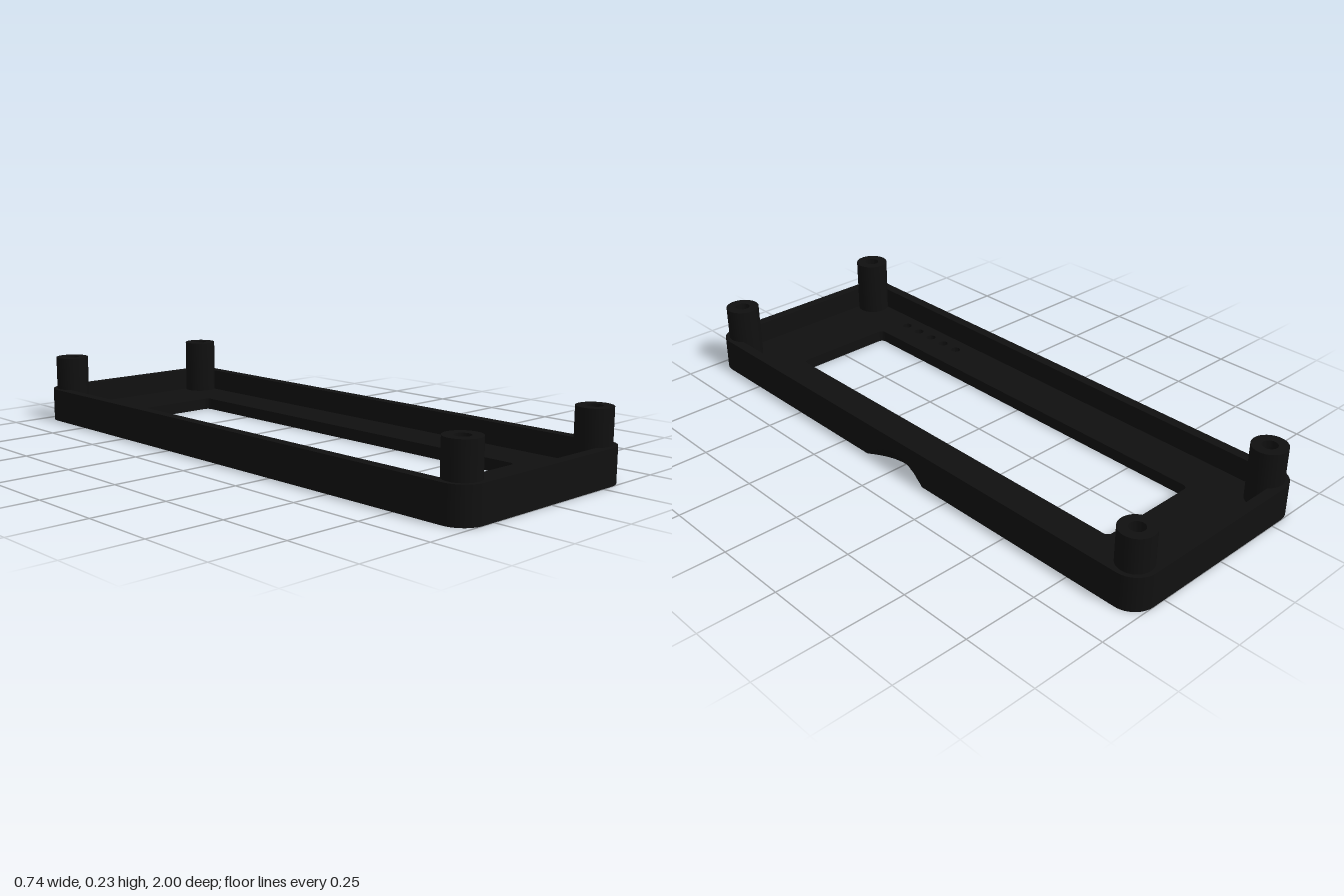
import * as THREE from 'three';
import { toCreasedNormals } from 'three/addons/utils/BufferGeometryUtils.js';

const HALF_W = 0.37, HALF_L = 1, FLOOR = 0.04, RIM = 0.115, POST_TOP = 0.23, WALL = 0.035;
const SCOOP = { depth: 0.05, height: 0.065, half: 0.135 };
const POST_X = 0.298, POST_Z = 0.928;

// How far the finger scoop cuts into the +x side at height y
const scoopDepth = (z, y) =>
  SCOOP.depth * Math.max(0, 1 - (z / SCOOP.half) ** 2 - y / SCOOP.height);

// Rounded rectangle in plan, optionally with the scoop outline of height scoopY
function roundedRect(target, w, l, r, scoopY = null) {
  target.moveTo(w, -l + r);
  if (scoopY !== null) {
    for (let i = 0; i <= 24; i++) {
      const z = SCOOP.half * (i / 12 - 1);
      target.lineTo(w - scoopDepth(z, scoopY), z);
    }
  }
  target.lineTo(w, l - r);
  target.absarc(w - r, l - r, r, 0, Math.PI / 2, false);
  target.absarc(-w + r, l - r, r, Math.PI / 2, Math.PI, false);
  target.absarc(-w + r, -l + r, r, Math.PI, Math.PI * 1.5, false);
  target.absarc(w - r, -l + r, r, Math.PI * 1.5, Math.PI * 2, false);
  return target;
}

function circle(target, x, z, r) {
  target.absarc(x, -z, r, 0, Math.PI * 2, false);
  return target;
}

// Extrude a plan shape upwards from y0 to y1
function extrudeUp(shape, y0, y1, steps = 1) {
  const g = new THREE.ExtrudeGeometry(shape, {
    depth: y1 - y0, steps, bevelEnabled: false, curveSegments: 16,
  });
  return g.rotateX(-Math.PI / 2).translate(0, y0, 0);
}

// Let the scoop fade out with height along the outer +x side
function shapeScoop(geometry, innerLimit) {
  const p = geometry.attributes.position;
  for (let i = 0; i < p.count; i++) {
    const z = p.getZ(i);
    if (p.getX(i) > innerLimit && Math.abs(z) <= SCOOP.half + 1e-4) {
      p.setX(i, HALF_W - scoopDepth(z, p.getY(i)));
    }
  }
  return geometry;
}

export function createModel() {
  const group = new THREE.Group();
  const black = new THREE.MeshStandardMaterial({ color: 0x101010 });
  black.name = 'black plastic';

  const add = (name, geometry) => {
    const mesh = new THREE.Mesh(toCreasedNormals(geometry, 0.6), black);
    mesh.name = name;
    group.add(mesh);
  };

  const corners = [];
  for (const sx of [-1, 1]) for (const sz of [-1, 1]) corners.push([sx * POST_X, sz * POST_Z]);

  // Floor plate with display window, indicator holes and screw holes
  const floor = roundedRect(new THREE.Shape(), HALF_W, HALF_L, 0.075, 0);
  floor.holes.push(roundedRect(new THREE.Path(), 0.183, 0.735, 0.018));
  for (let i = 0; i < 5; i++) {
    floor.holes.push(circle(new THREE.Path(), -0.28, 0.425 + i * 0.069, 0.017));
  }
  for (const [x, z] of corners) floor.holes.push(circle(new THREE.Path(), x, z, 0.025));
  add('floorPlate', shapeScoop(extrudeUp(floor, 0, FLOOR, 4), HALF_W - SCOOP.depth - 0.005));

  // Perimeter wall
  const wall = roundedRect(new THREE.Shape(), HALF_W, HALF_L, 0.075, FLOOR);
  wall.holes.push(roundedRect(new THREE.Path(), HALF_W - WALL, HALF_L - WALL, 0.04));
  add('perimeterWall', shapeScoop(extrudeUp(wall, FLOOR, RIM, 6), HALF_W - WALL + 0.002));

  // Hollow screw posts in the corners
  for (const [x, z] of corners) {
    const post = circle(new THREE.Shape(), x, z, 0.057);
    post.holes.push(circle(new THREE.Path(), x, z, 0.025));
    add('screwPost', extrudeUp(post, FLOOR, POST_TOP));
  }
  return group;
}
